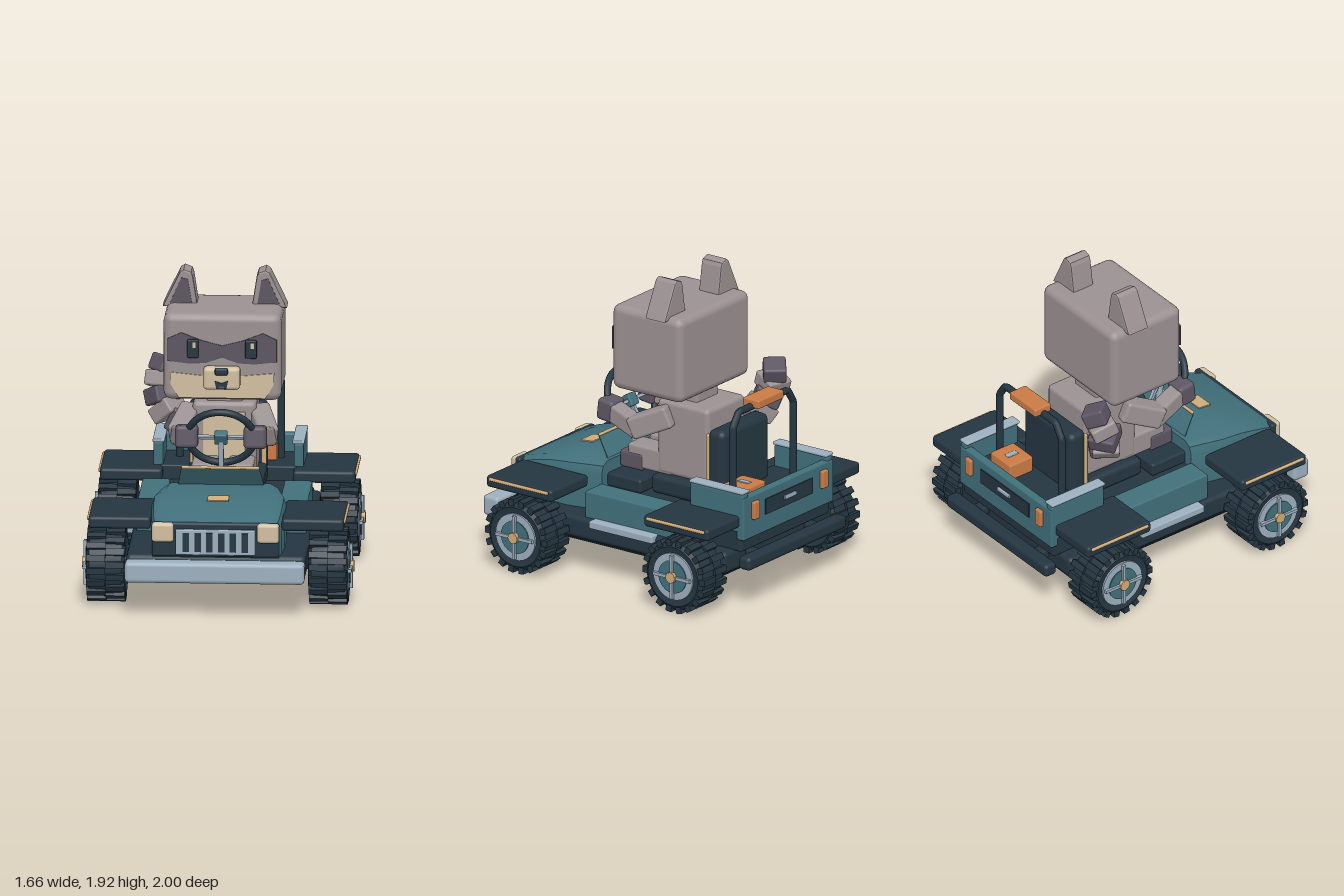
import * as THREE from 'three';
import { toCreasedNormals } from 'three/addons/utils/BufferGeometryUtils.js';
import { RoundedBoxGeometry } from 'three/addons/geometries/RoundedBoxGeometry.js';

const mat = (name, color) => Object.assign(new THREE.MeshStandardMaterial({ color }), { name });
const M = {
  teal: mat('teal paint', 0x41707b), navy: mat('dark navy', 0x253641), black: mat('underside black', 0x18222b),
  steel: mat('pale steel', 0x9dafbf), cream: mat('cream', 0xd0bfa0), tan: mat('brass trim', 0xd0ac7a),
  orange: mat('orange', 0xc97b45), fur: mat('grey fur', 0x9b9192), dark: mat('dark fur', 0x5d5663),
};
const V = (x, y, z) => new THREE.Vector3(x, y, z);

export function createModel() {
  const root = new THREE.Group();
  const add = (name, geo, m, parent = root) => {
    const mesh = new THREE.Mesh(geo, m);
    mesh.name = name;
    parent.add(mesh);
    return mesh;
  };
  // Rounded box given by its limits
  const box = (name, m, x0, x1, y0, y1, z0, z1, r = 0.015, parent = root) => {
    const w = x1 - x0, h = y1 - y0, d = z1 - z0;
    const g = r ? new RoundedBoxGeometry(w, h, d, 2, Math.min(r, w / 2.1, h / 2.1, d / 2.1)) : new THREE.BoxGeometry(w, h, d);
    const mesh = add(name, g, m, parent);
    mesh.position.set((x0 + x1) / 2, (y0 + y1) / 2, (z0 + z1) / 2);
    return mesh;
  };
  // Same box on both sides
  const pair = (name, m, x0, x1, ...rest) => {
    box('left ' + name, m, x0, x1, ...rest);
    box('right ' + name, m, -x1, -x0, ...rest);
  };
  // Rounded bar from a to b
  const bar = (name, m, a, b, w, h, r = 0.02) => {
    const mesh = add(name, new RoundedBoxGeometry(w, h, a.distanceTo(b), 2, r), m);
    mesh.position.copy(a).lerp(b, 0.5);
    mesh.lookAt(b);
    return mesh;
  };
  // Flat polygon with depth, starting at z
  const plate = (name, m, pts, z, depth = 0.008, bevel = 0) => {
    const shape = new THREE.Shape(pts.map(p => new THREE.Vector2(...p)));
    const g = new THREE.ExtrudeGeometry(shape, { depth, bevelEnabled: bevel > 0, bevelSize: bevel, bevelThickness: bevel, bevelOffset: -bevel, bevelSegments: 2 });
    const mesh = add(name, g, m);
    mesh.position.z = z;
    return mesh;
  };

  // Chassis and bumpers
  box('chassis', M.navy, -0.55, 0.55, 0.22, 0.36, -0.85, 0.84, 0.03);
  box('underside', M.black, -0.54, 0.54, 0.212, 0.222, -0.83, 0.8, 0);
  box('front bumper', M.steel, -0.55, 0.55, 0.22, 0.35, 0.88, 1.0, 0.025);
  box('rear bumper', M.navy, -0.5, 0.5, 0.26, 0.345, -1.0, -0.91, 0.025);
  for (const s of [-1, 1]) {
    box('front bumper bracket', M.navy, s * 0.3 - 0.04, s * 0.3 + 0.04, 0.25, 0.32, 0.8, 0.9);
    box('rear bumper bracket', M.navy, s * 0.3 - 0.04, s * 0.3 + 0.04, 0.27, 0.33, -0.93, -0.82);
  }
  pair('side step', M.steel, 0.52, 0.59, 0.32, 0.37, -0.32, 0.16, 0.01);
  pair('body side', M.teal, 0.35, 0.52, 0.35, 0.53, -0.4, 0.24, 0.012);
  box('cabin floor', M.navy, -0.36, 0.36, 0.35, 0.5, -0.53, 0.26);
  box('footwell', M.navy, -0.3, 0.3, 0.5, 0.585, -0.02, 0.25);

  // Hood lofted from cross-sections: z, half width, top height
  const stations = [[0.23, 0.36, 0.665], [0.45, 0.41, 0.66], [0.6, 0.41, 0.645], [0.76, 0.4, 0.605], [0.845, 0.385, 0.575]];
  const pos = [], idx = [];
  stations.forEach(([z, w, t]) => {
    [[w, 0.35], [w, t - 0.07], [w - 0.015, t - 0.025], [w - 0.06, t]].forEach(([x, y]) => pos.push(x, y, z));
    [[w - 0.06, t], [w - 0.015, t - 0.025], [w, t - 0.07], [w, 0.35]].forEach(([x, y]) => pos.push(-x, y, z));
  });
  for (let i = 0; i < stations.length - 1; i++) for (let j = 0; j < 8; j++) {
    const a = i * 8 + j, b = i * 8 + (j + 1) % 8;
    idx.push(a, b, a + 8, b, b + 8, a + 8);
  }
  const last = (stations.length - 1) * 8;
  for (let j = 1; j < 7; j++) idx.push(0, j + 1, j, last, last + j, last + j + 1);
  const hood = new THREE.BufferGeometry();
  hood.setAttribute('position', new THREE.Float32BufferAttribute(pos, 3));
  hood.setIndex(idx);
  add('hood', toCreasedNormals(hood, 0.6), M.teal);
  box('hood badge', M.tan, -0.065, 0.065, 0.648, 0.656, 0.52, 0.61, 0).rotation.x = 0.09;

  // Front face
  box('front panel', M.navy, -0.39, 0.39, 0.36, 0.575, 0.83, 0.875, 0.015);
  box('grille', M.steel, -0.245, 0.245, 0.375, 0.535, 0.86, 0.888, 0.008);
  for (let i = 0; i < 6; i++) {
    const x = -0.18 + i * 0.072;
    box('grille slot', M.navy, x - 0.02, x + 0.02, 0.395, 0.515, 0.884, 0.892, 0);
  }
  pair('headlight', M.cream, 0.255, 0.39, 0.455, 0.575, 0.85, 0.905, 0.02);

  // Windshield panel and trim
  const shield = plate('windshield panel', M.teal, [[-0.265, 0], [0.265, 0], [0.24, 0.16], [-0.24, 0.16]], 0.25, 0.006);
  shield.position.y = 0.655;
  shield.rotation.x = 0.6;
  box('windshield trim', M.tan, -0.24, 0.24, 0.782, 0.8, 0.33, 0.35, 0.008);

  // Fenders with trim
  for (const [n, z0, z1] of [['front', 0.3, 0.8], ['rear', -0.89, -0.4]]) {
    pair(n + ' fender', M.navy, 0.4, 0.782, 0.51, 0.586, z0, z1, 0.02);
    pair(n + ' fender trim', M.tan, 0.772, 0.792, 0.556, 0.576, z0 + 0.025, z1 - 0.025, 0.008);
  }

  // Cargo bed
  box('bed base', M.navy, -0.45, 0.45, 0.35, 0.5, -0.9, -0.5);
  box('bed floor', M.navy, -0.42, 0.42, 0.48, 0.59, -0.9, -0.5, 0.01);
  pair('bed wall', M.teal, 0.4, 0.46, 0.48, 0.73, -0.92, -0.515, 0.012);
  pair('bed rail', M.steel, 0.39, 0.465, 0.728, 0.748, -0.92, -0.51, 0.008);
  box('tailgate', M.teal, -0.46, 0.46, 0.43, 0.705, -0.925, -0.87, 0.012);
  box('tailgate panel', M.navy, -0.24, 0.24, 0.545, 0.645, -0.932, -0.922, 0);
  box('tailgate handle', M.steel, -0.06, 0.06, 0.59, 0.615, -0.945, -0.93, 0.005);
  pair('tail light', M.orange, 0.32, 0.38, 0.55, 0.665, -0.95, -0.92, 0.01);
  box('cargo case', M.orange, 0.09, 0.29, 0.59, 0.7, -0.82, -0.64, 0.012);
  box('cargo case latch', M.steel, 0.17, 0.21, 0.66, 0.706, -0.77, -0.69, 0.005);

  // Roll bar, made of straight runs with a bevelled corner
  const hoop = new THREE.CurvePath();
  const hp = [[-0.31, 0.58], [-0.31, 1.08], [-0.25, 1.17], [0.25, 1.17], [0.31, 1.08], [0.31, 0.58]].map(([x, y]) => V(x, y, -0.73));
  for (let i = 0; i < 5; i++) hoop.add(new THREE.LineCurve3(hp[i], hp[i + 1]));
  add('roll bar', new THREE.TubeGeometry(hoop, 80, 0.023, 10), M.navy);
  box('roll bar lamp', M.orange, -0.13, 0.13, 1.163, 1.22, -0.795, -0.67, 0.012);

  // Seat
  box('seat cushion', M.navy, -0.24, 0.24, 0.5, 0.62, -0.5, -0.05, 0.03);
  box('seat back', M.navy, -0.24, 0.24, 0.56, 1.0, -0.605, -0.48, 0.04);
  pair('seat piping', M.tan, 0.205, 0.235, 0.6, 0.965, -0.495, -0.465, 0.01);

  // Wheels: axle along x, outer face towards +x before mirroring
  const profile = [[0.02, -0.1], [0.14, -0.105], [0.19, -0.12], [0.215, -0.1], [0.222, 0], [0.215, 0.1], [0.19, 0.12], [0.15, 0.11], [0.02, 0.1]];
  const tire = toCreasedNormals(new THREE.LatheGeometry(profile.map(p => new THREE.Vector2(...p)), 36), 0.6);
  const disc = (name, m, r, y0, y1, n, parent) => {
    add(name, new THREE.CylinderGeometry(r, r, y1 - y0, n), m, parent).position.y = (y0 + y1) / 2;
  };
  for (const s of [-1, 1]) for (const [n, z] of [['front', 0.56], ['rear', -0.64]]) {
    const wheel = new THREE.Group(), spin = new THREE.Group();
    wheel.name = (s > 0 ? 'left ' : 'right ') + n + ' wheel';
    wheel.position.set(s * 0.68, 0.24, z);
    wheel.rotation.y = s > 0 ? 0 : Math.PI;
    spin.rotation.z = -Math.PI / 2;
    wheel.add(spin);
    root.add(wheel);
    add('tire', tire, M.navy, spin);
    for (let i = 0; i < 36; i++) {
      const a = i * Math.PI / 18, lug = box('tread lug', M.navy, -0.02, 0.02, -0.058, 0.058, -0.02, 0.02, 0, spin);
      lug.position.set(Math.cos(a) * 0.217, i % 2 ? 0.058 : -0.058, Math.sin(a) * 0.217);
      lug.rotation.y = -a;
    }
    disc('rim', M.steel, 0.15, 0.05, 0.122, 32, spin);
    disc('rim centre', M.teal, 0.105, 0.05, 0.129, 24, spin);
    for (let i = 0; i < 4; i++) {
      const a = i * Math.PI / 2, spoke = box('spoke', M.steel, -0.055, 0.055, -0.01, 0.01, -0.01, 0.01, 0, spin);
      spoke.position.set(Math.cos(a) * 0.085, 0.133, Math.sin(a) * 0.085);
      spoke.rotation.y = -a;
    }
    disc('hub cap', M.tan, 0.036, 0.1, 0.152, 8, spin);
  }
  for (const z of [0.56, -0.64]) box('axle', M.navy, -0.6, 0.6, 0.22, 0.28, z - 0.03, z + 0.03);

  // Steering wheel
  const steer = new THREE.Group();
  steer.name = 'steering wheel';
  steer.position.set(0, 0.965, 0.275);
  steer.rotation.x = 0.49;
  root.add(steer);
  add('steering ring', new THREE.TorusGeometry(0.205, 0.022, 10, 40), M.navy, steer);
  box('cross spoke', M.steel, -0.2, 0.2, -0.01, 0.01, -0.01, 0.01, 0, steer);
  box('lower spoke', M.steel, -0.012, 0.012, -0.2, 0, -0.01, 0.01, 0, steer);
  box('steering hub', M.teal, -0.04, 0.04, -0.04, 0.04, -0.025, 0.03, 0.01, steer);
  bar('steering column', M.steel, V(0, 0.64, 0.235), V(0, 0.95, 0.28), 0.032, 0.032, 0.008);

  // Driver body
  box('torso', M.fur, -0.195, 0.195, 0.62, 1.1, -0.455, -0.065, 0.03);
  box('belly patch', M.cream, -0.13, 0.13, 0.74, 1.04, -0.067, -0.058, 0.004);
  box('neck', M.fur, -0.11, 0.11, 1.08, 1.18, -0.31, -0.1, 0.02);
  pair('leg', M.fur, 0.03, 0.19, 0.615, 0.765, -0.17, 0.165, 0.02);
  pair('foot', M.dark, 0.025, 0.195, 0.6, 0.712, 0.045, 0.22, 0.02);
  for (const s of [-1, 1]) {
    bar('upper arm', M.fur, V(s * 0.2, 1.02, -0.18), V(s * 0.275, 0.91, 0.06), 0.13, 0.14);
    bar('forearm', M.fur, V(s * 0.275, 0.91, 0.0), V(s * 0.215, 0.965, 0.25), 0.11, 0.12);
    const hand = box('hand', M.dark, s * 0.21 - 0.07, s * 0.21 + 0.07, 0.9, 1.04, 0.215, 0.335, 0.025);
    hand.rotation.x = -0.12;
  }

  // Striped tail
  const tail = [[-0.15, 0.88, -0.38], [-0.26, 0.88, -0.4], [-0.345, 0.925, -0.42], [-0.395, 1.0, -0.455], [-0.415, 1.09, -0.485], [-0.405, 1.175, -0.515], [-0.375, 1.265, -0.54]].map(p => V(...p));
  for (let i = 0; i < 6; i++) {
    const w = [0.12, 0.15, 0.17, 0.17, 0.165, 0.14][i];
    bar('tail segment', i % 2 ? M.dark : M.fur, tail[i].clone().lerp(tail[i + 1], -0.08), tail[i + 1], w, w, 0.015);
  }

  // Head and ears
  box('head', M.fur, -0.36, 0.36, 1.165, 1.71, -0.37, 0.165, 0.05);
  for (const s of [-1, 1]) {
    const flip = pts => pts.map(([x, y]) => [x * s, y]);
    plate('ear', M.fur, flip([[0.38, 1.685], [0.36, 1.73], [0.275, 1.905], [0.25, 1.922], [0.205, 1.905], [0.195, 1.88], [0.165, 1.685]]), -0.255, 0.13, 0.012);
    plate('inner ear', M.dark, flip([[0.335, 1.712], [0.265, 1.87], [0.225, 1.86], [0.2, 1.712]]), -0.116, 0.009);
  }

  // Face
  plate('eye mask', M.dark, [[-0.335, 1.555], [-0.25, 1.595], [-0.12, 1.545], [0, 1.515], [0.12, 1.545], [0.25, 1.595], [0.335, 1.555],
    [0.335, 1.415], [0.2, 1.4], [0.1, 1.405], [0, 1.44], [-0.1, 1.405], [-0.2, 1.4], [-0.335, 1.415]], 0.163, 0.009);
  plate('cheeks', M.cream, [[-0.32, 1.345], [-0.12, 1.325], [0.12, 1.325], [0.32, 1.345], [0.315, 1.27], [0.265, 1.185], [-0.265, 1.185], [-0.315, 1.27]], 0.163, 0.009);
  pair('eye', M.navy, 0.143, 0.213, 1.44, 1.555, 0.165, 0.195, 0.008);
  for (const s of [-1, 1]) box('eye glint', M.cream, s * 0.178 - 0.002, s * 0.178 + 0.018, 1.505, 1.54, 0.193, 0.2, 0);
  box('muzzle', M.cream, -0.113, 0.113, 1.25, 1.392, 0.16, 0.242, 0.025);
  box('nose', M.navy, -0.04, 0.04, 1.348, 1.392, 0.225, 0.262, 0.012);
  plate('mouth', M.navy, [[-0.042, 1.312], [0, 1.298], [0.042, 1.312], [0.03, 1.262], [-0.03, 1.262]], 0.239, 0.008);
  box('tongue', M.dark, -0.018, 0.018, 1.264, 1.278, 0.244, 0.25, 0);
  return root;
}
